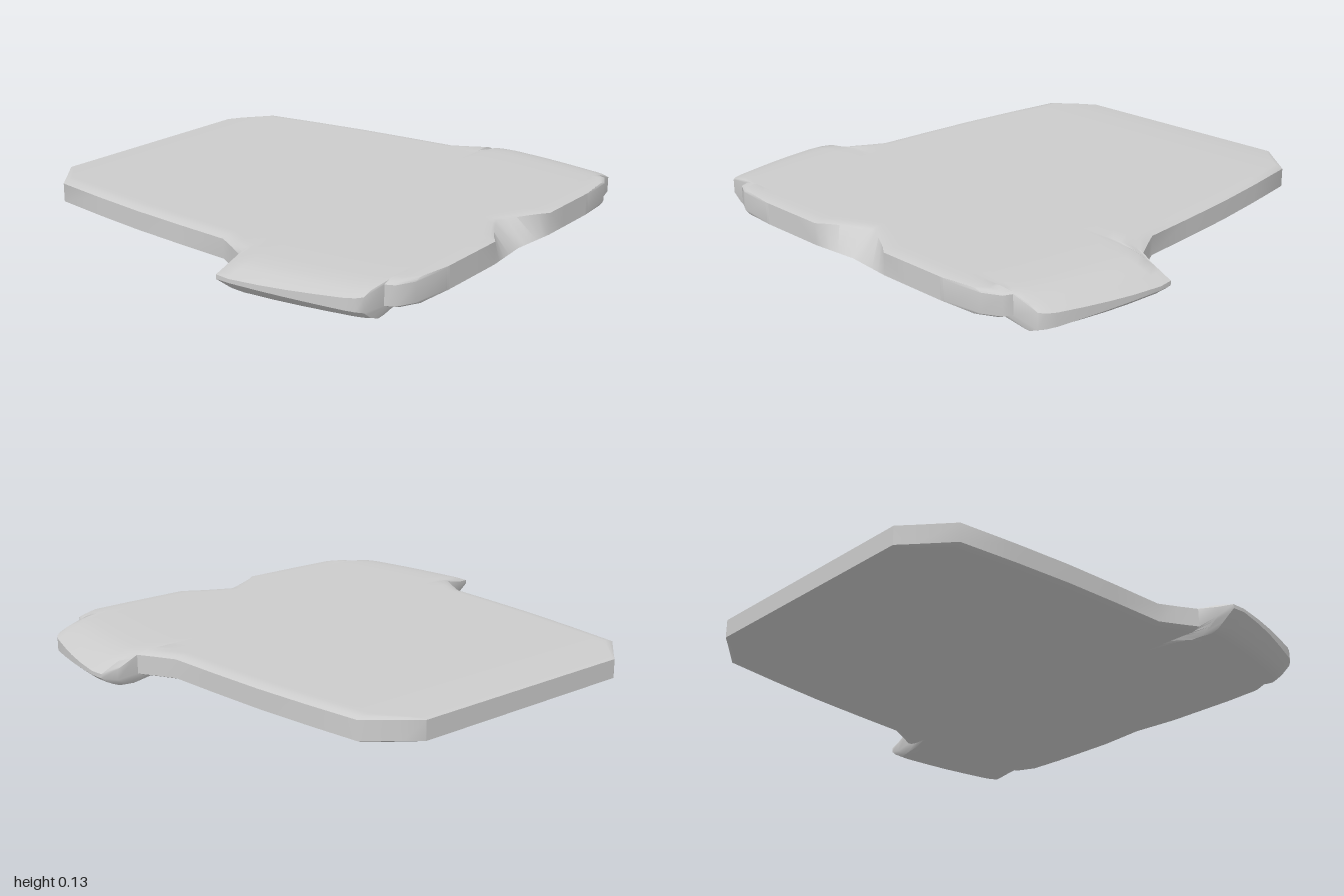
import * as THREE from 'three';
import { toCreasedNormals } from 'three/addons/utils/BufferGeometryUtils.js';

const TOP = 0.13, BOTTOM = 0.03, FRONT = 0.945;

// Cross-sections from back to front: [z, half width, is drooping wing, edge drop]
const ROWS = [
  [-0.95, 0.5, 0, 0.012], [-0.9, 0.557, 0, 0.006], [-0.8, 0.675, 0, 0], [-0.56, 0.708, 0, 0],
  [-0.32, 0.735, 0, 0], [-0.08, 0.752, 0, 0], [0.15, 0.765, 0, 0], [0.225, 0.805, 0, 0],
  [0.295, 0.845, 0, 0], [0.305, 0.93, 1, 0], [0.32, 0.992, 1, 0], [0.38, 0.997, 1, 0],
  [0.5, 0.98, 1, 0], [0.6, 0.96, 1, 0], [0.7, 0.935, 1, 0], [0.8, 0.907, 1, 0],
  [0.835, 0.89, 1, 0], [0.855, 0.87, 1, 0], [0.862, 0.765, 0, 0], [0.895, 0.75, 0, 0],
  [0.93, 0.68, 0, 0.002], [0.945, 0.52, 0, 0.006],
];

// Wing curves as [x, y], one pair for each side
const WINGS = {
  left: {
    top: [[0.75, 0.13], [0.85, 0.122], [0.92, 0.102], [1, 0.064]],
    bottom: [[0.72, 0.03], [0.8, 0.025], [0.86, 0.012], [0.92, 0.003], [0.97, 0.024], [1, 0.05]],
  },
  right: {
    top: [[0.75, 0.13], [0.85, 0.127], [0.92, 0.118], [1, 0.092]],
    bottom: [[0.72, 0.03], [0.8, 0.015], [0.87, 0], [0.92, 0.018], [1, 0.078]],
  },
};

// Columns: fixed in the middle, then stretched out to the edge
const INNER = [0, 0.04, 0.08, 0.12, 0.16, 0.2, 0.32, 0.45];
const OUTER = [0.27, 0.545, 0.64, 0.727, 0.8, 0.855, 0.91, 0.96, 1];

function along(points, x) {
  if (x <= points[0][0]) return points[0][1];
  for (let i = 1; i < points.length; i++) {
    const [x0, y0] = points[i - 1], [x1, y1] = points[i];
    if (x <= x1) return y0 + (y1 - y0) * (x - x0) / (x1 - x0);
  }
  return points[points.length - 1][1];
}

function halfColumns(w) {
  return [...INNER, ...OUTER.map((s) => 0.45 + (w - 0.45) * s)];
}

// Height of one surface, with a rounded rim on the body and a droop on the wings
function height(face, x, [, w, wing, drop]) {
  const ax = Math.abs(x);
  if (wing) return along(WINGS[x > 0 ? 'left' : 'right'][face], ax + 0.7 * (1 - w));
  const rim = 0.012 * Math.max(0, 1 - (w - ax) / 0.05) ** 2;
  const d = Math.max(rim, drop);
  return face === 'top' ? TOP - d : BOTTOM + d;
}

// Pull the middle of the front edge back to form the notch
function notch(face, x, z) {
  if (z < 0.5) return z;
  const k = Math.max(0, 1 - Math.abs(x) / 0.2);
  const depth = face === 'top' ? 0.115 * Math.pow(k, 0.85) : 0.018 * k;
  return 0.5 + (z - 0.5) * (FRONT - depth - 0.5) / (FRONT - 0.5);
}

function slabGeometry() {
  const positions = [], index = [];
  const cols = 2 * (INNER.length + OUTER.length) - 1;
  const ring = 2 * cols;

  for (const row of ROWS) {
    const half = halfColumns(row[1]);
    const xs = [...half.slice(1).reverse().map((x) => -x), ...half];
    for (const x of xs) positions.push(x, height('top', x, row), notch('top', x, row[0]));
    for (const x of xs.reverse()) positions.push(x, height('bottom', x, row), notch('bottom', x, row[0]));
  }

  // Skin between neighbouring cross-sections
  for (let j = 0; j < ROWS.length - 1; j++) {
    for (let i = 0; i < ring; i++) {
      const n = (i + 1) % ring;
      const a = j * ring + i, b = j * ring + n, c = b + ring, d = a + ring;
      index.push(a, d, c, a, c, b);
    }
  }

  // Back and front walls
  const last = (ROWS.length - 1) * ring;
  for (let i = 0; i < cols - 1; i++) {
    const p = ring - 1 - i;
    index.push(i, i + 1, p - 1, i, p - 1, p);
    index.push(last + i, last + p - 1, last + i + 1, last + i, last + p, last + p - 1);
  }

  const geometry = new THREE.BufferGeometry();
  geometry.setAttribute('position', new THREE.Float32BufferAttribute(positions, 3));
  geometry.setIndex(index);
  return toCreasedNormals(geometry, 0.75);
}

export function createModel() {
  const group = new THREE.Group();
  group.name = 'floorPanel';
  const slab = new THREE.Mesh(slabGeometry(), new THREE.MeshStandardMaterial({ color: 0xcccccc }));
  slab.name = 'panel';
  group.add(slab);
  return group;
}
